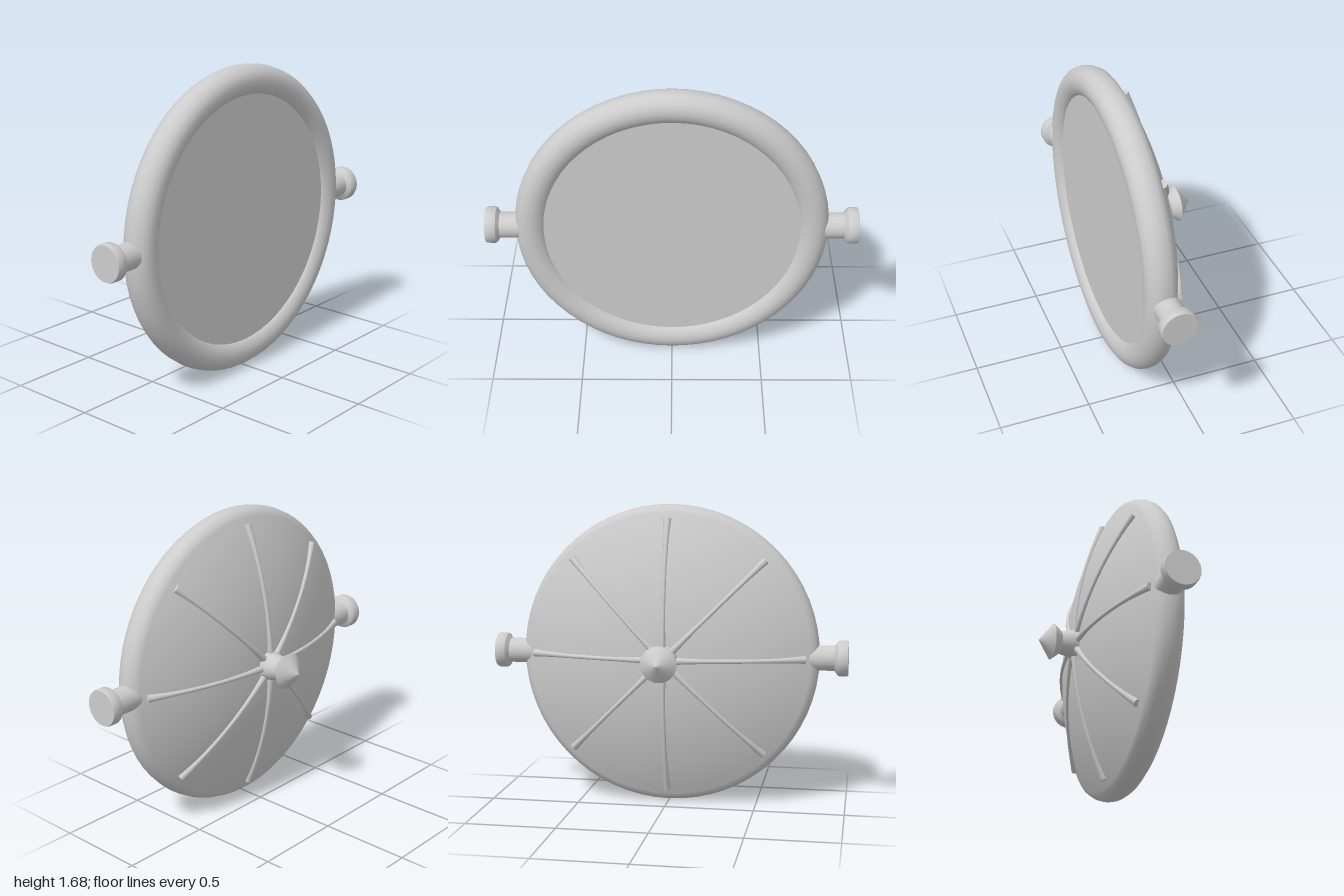
import * as THREE from 'three';
import { toCreasedNormals } from 'three/addons/utils/BufferGeometryUtils.js';

const CENTRE_Y = 0.842;
const DOME_TOP = -0.07, DOME_EDGE = 0.115, DOME_R = 0.8;

// Height of the spherical back at distance r from its axis
const domeH = DOME_EDGE - DOME_TOP;
const sphereR = (DOME_R * DOME_R + domeH * domeH) / (2 * domeH);
const domeZ = (r) => DOME_TOP + sphereR - Math.sqrt(sphereR * sphereR - r * r);

const lathe = (points, segments) =>
  new THREE.LatheGeometry(points.map(([r, h]) => new THREE.Vector2(r, h)), segments);

export function createModel() {
  const model = new THREE.Group();
  const metal = new THREE.MeshStandardMaterial({ color: 0xcccccc });
  metal.name = 'light grey';

  const body = new THREE.Group();
  body.name = 'body';
  body.position.y = CENTRE_Y;
  model.add(body);

  const add = (name, geometry, parent = body) => {
    const mesh = new THREE.Mesh(geometry, metal);
    mesh.name = name;
    parent.add(mesh);
    return mesh;
  };

  // Rounded rim around the face
  add('rim', lathe([
    [0.8, 0.115], [0.822, 0.127], [0.837, 0.155], [0.842, 0.19], [0.836, 0.222],
    [0.816, 0.25], [0.79, 0.266], [0.76, 0.272], [0.73, 0.267], [0.705, 0.254],
    [0.689, 0.238], [0.682, 0.22],
  ], 64).rotateX(Math.PI / 2));

  // Flat front face
  add('face', new THREE.CircleGeometry(0.69, 64).translate(0, 0, 0.235));

  // Shallow domed back
  const domeProfile = [];
  for (let i = 0; i <= 16; i++) {
    const r = (DOME_R * i) / 16;
    domeProfile.push([r, domeZ(r)]);
  }
  add('domedBack', lathe(domeProfile, 64).rotateX(Math.PI / 2));

  // Pointed finial at the centre of the back
  add('finial', toCreasedNormals(lathe([
    [0, -0.278], [0.1, -0.203], [0.062, -0.157], [0.085, -0.06],
  ], 32).rotateX(Math.PI / 2), 0.5));

  // Eight ribs over the dome, flared at both ends
  const ribPoints = [];
  for (let i = 0; i <= 8; i++) {
    const r = 0.05 + (0.715 * i) / 8;
    ribPoints.push(new THREE.Vector3(r, 0, domeZ(r) - 0.004));
  }
  const ribCurve = new THREE.CatmullRomCurve3(ribPoints);
  const ribRadius = (t) => 0.0115 + 0.0105 * Math.pow(Math.abs(2 * t - 1), 3);
  const rows = 20, sides = 10;
  const ribGeometry = new THREE.TubeGeometry(ribCurve, rows, 0.03, sides);
  const pos = ribGeometry.attributes.position, nor = ribGeometry.attributes.normal;
  for (let i = 0; i < pos.count; i++) {
    const shrink = 0.03 - ribRadius(Math.floor(i / (sides + 1)) / rows);
    pos.setXYZ(i,
      pos.getX(i) - nor.getX(i) * shrink,
      pos.getY(i) - nor.getY(i) * shrink,
      pos.getZ(i) - nor.getZ(i) * shrink);
  }
  const endGeometry = new THREE.CircleGeometry(ribRadius(1), 16);
  for (let i = 0; i < 8; i++) {
    const rib = new THREE.Group();
    rib.name = 'rib';
    rib.rotation.z = (i * Math.PI) / 4;
    body.add(rib);
    add('ribBar', ribGeometry, rib);
    const end = add('ribEnd', endGeometry, rib);
    end.position.copy(ribCurve.getPoint(1));
    end.quaternion.setFromUnitVectors(new THREE.Vector3(0, 0, 1), ribCurve.getTangent(1));
  }

  // Side knobs
  const knobGeometry = toCreasedNormals(lathe([
    [0.07, 0.78], [0.07, 0.925], [0.095, 0.942], [0.099, 0.95],
    [0.099, 0.99], [0.095, 1], [0, 1],
  ], 32), 0.5);
  for (const side of [1, -1]) {
    const knob = add(side > 0 ? 'leftKnob' : 'rightKnob', knobGeometry);
    knob.rotation.z = (-side * Math.PI) / 2;
    knob.position.z = 0.178;
  }

  return model;
}
